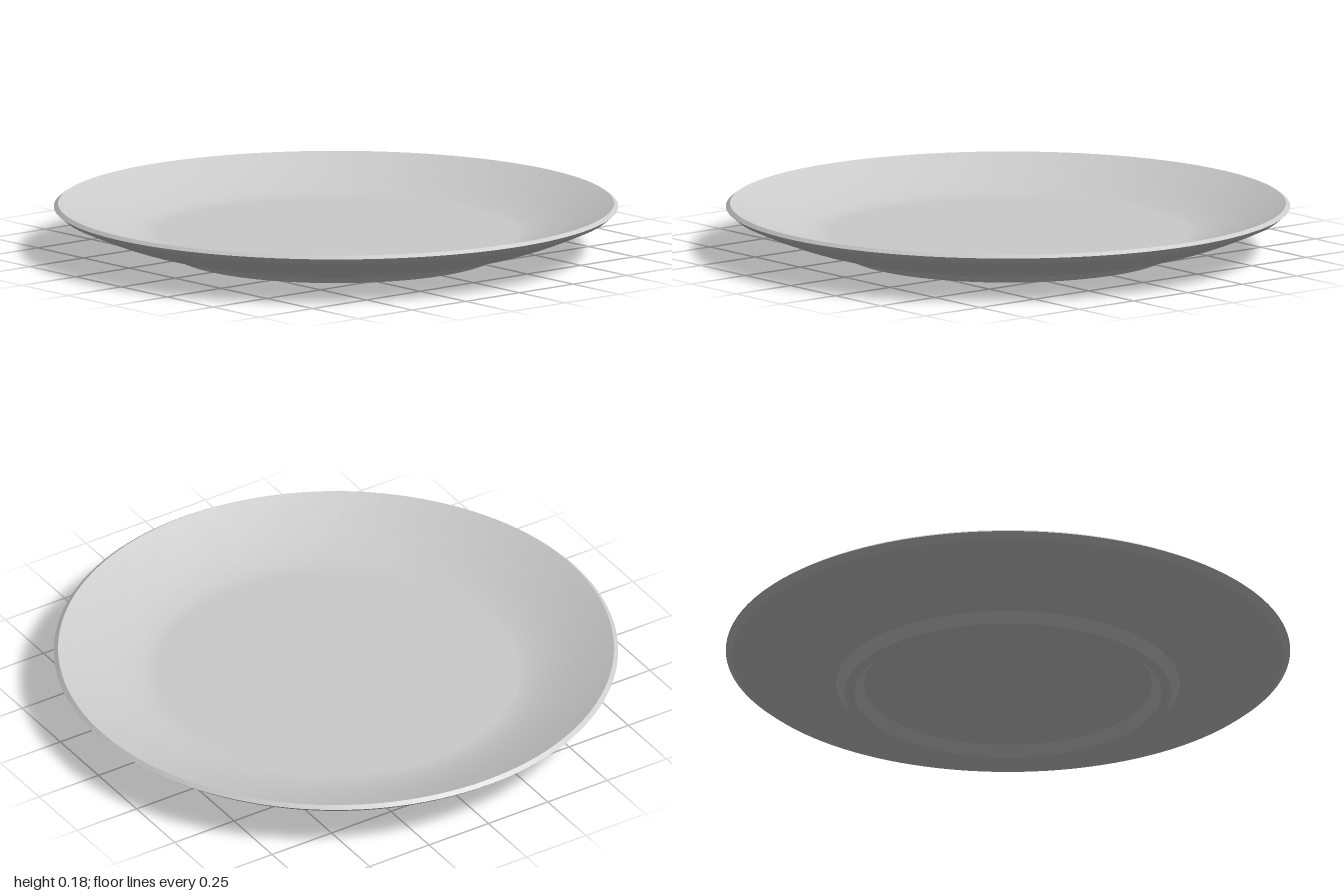
import * as THREE from 'three';

const v = (r, y) => new THREE.Vector2(r, y);

// Points along a curved wall from the flat base out to the rim
function wall(start, control, end) {
  return new THREE.QuadraticBezierCurve(start, control, end).getPoints(12);
}

export function createModel() {
  const group = new THREE.Group();
  group.name = 'plate';

  const profile = [
    // recessed underside and foot ring
    v(0, 0.035), v(0.51, 0.035), v(0.545, 0), v(0.58, 0), v(0.61, 0.036),
    // outer wall
    ...wall(v(0.62, 0.036), v(0.74, 0.036), v(0.975, 0.145)),
    // bevelled rim
    v(1, 0.166),
    // inner wall, from the rim down to the eating surface
    ...wall(v(0.64, 0.073), v(0.74, 0.073), v(0.985, 0.177)).reverse(),
    v(0, 0.073),
  ];

  const material = new THREE.MeshStandardMaterial({ color: 0xcccccc, flatShading: true });
  const dish = new THREE.Mesh(new THREE.LatheGeometry(profile, 128), material);
  dish.name = 'dish';
  group.add(dish);
  return group;
}
